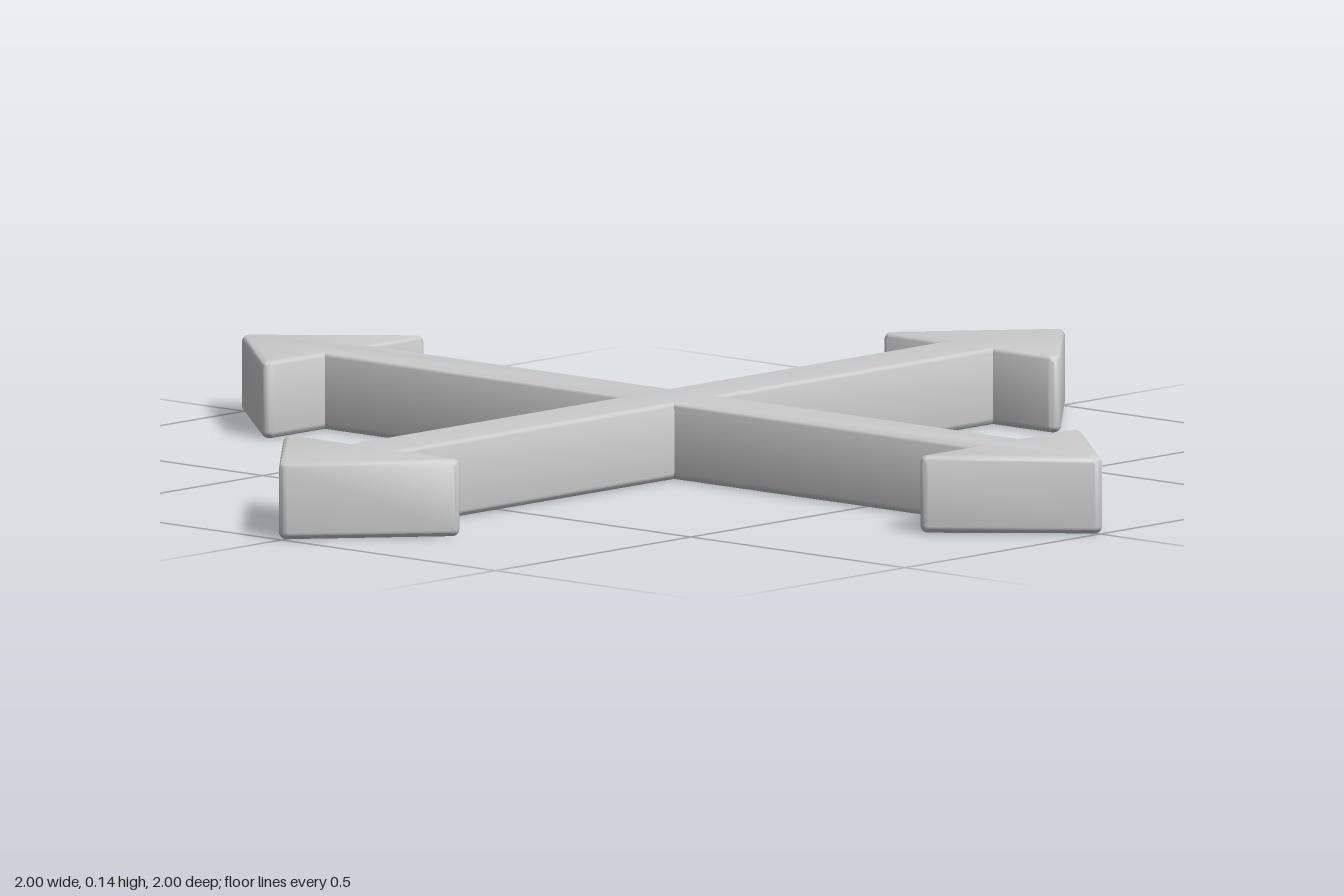
import * as THREE from 'three';
import { toCreasedNormals } from 'three/addons/utils/BufferGeometryUtils.js';

const HEIGHT = 0.135, BEVEL = 0.012, ROUND = 0.014;
const STEM = 0.06;                        // half width of a stem
const WING_X = 0.77, WING_Z = 0.187;      // centre of a rounded wing corner
const TIP_X = 1 - ROUND;                  // centre of the rounded tip

// Points along a rounded corner
function corner(cx, cy, from, to, steps = 6) {
  return Array.from({ length: steps + 1 }, (_, i) => {
    const a = from + (to - from) * i / steps;
    return new THREE.Vector2(cx + ROUND * Math.cos(a), cy + ROUND * Math.sin(a));
  });
}

// Outline of one arm pointing along +x, counterclockwise
function armOutline() {
  const slope = Math.atan2(TIP_X - WING_X, WING_Z);
  const base = WING_X - ROUND;
  return [
    new THREE.Vector2(STEM, -STEM),
    new THREE.Vector2(base, -STEM),
    ...corner(WING_X, -WING_Z, -Math.PI, -slope),
    ...corner(TIP_X, 0, -slope, slope),
    ...corner(WING_X, WING_Z, slope, Math.PI),
    new THREE.Vector2(base, STEM),
  ];
}

export function createModel() {
  const group = new THREE.Group();
  group.name = 'fourWayArrow';

  // Four arms, a quarter turn apart, joined in one outline
  const points = [];
  const centre = new THREE.Vector2();
  for (let i = 0; i < 4; i++) {
    for (const p of armOutline()) points.push(p.rotateAround(centre, i * Math.PI / 2));
  }

  // Solid plate with softly rounded top and bottom edges
  const geometry = new THREE.ExtrudeGeometry(new THREE.Shape(points), {
    depth: HEIGHT - 2 * BEVEL,
    bevelThickness: BEVEL,
    bevelSize: BEVEL,
    bevelOffset: -BEVEL,
    bevelSegments: 4,
  });
  geometry.translate(0, 0, BEVEL);
  geometry.rotateX(-Math.PI / 2);

  const arrows = new THREE.Mesh(
    toCreasedNormals(geometry, 0.7),
    new THREE.MeshStandardMaterial({ color: 0xcccccc })
  );
  arrows.name = 'arrowCross';
  group.add(arrows);
  return group;
}
